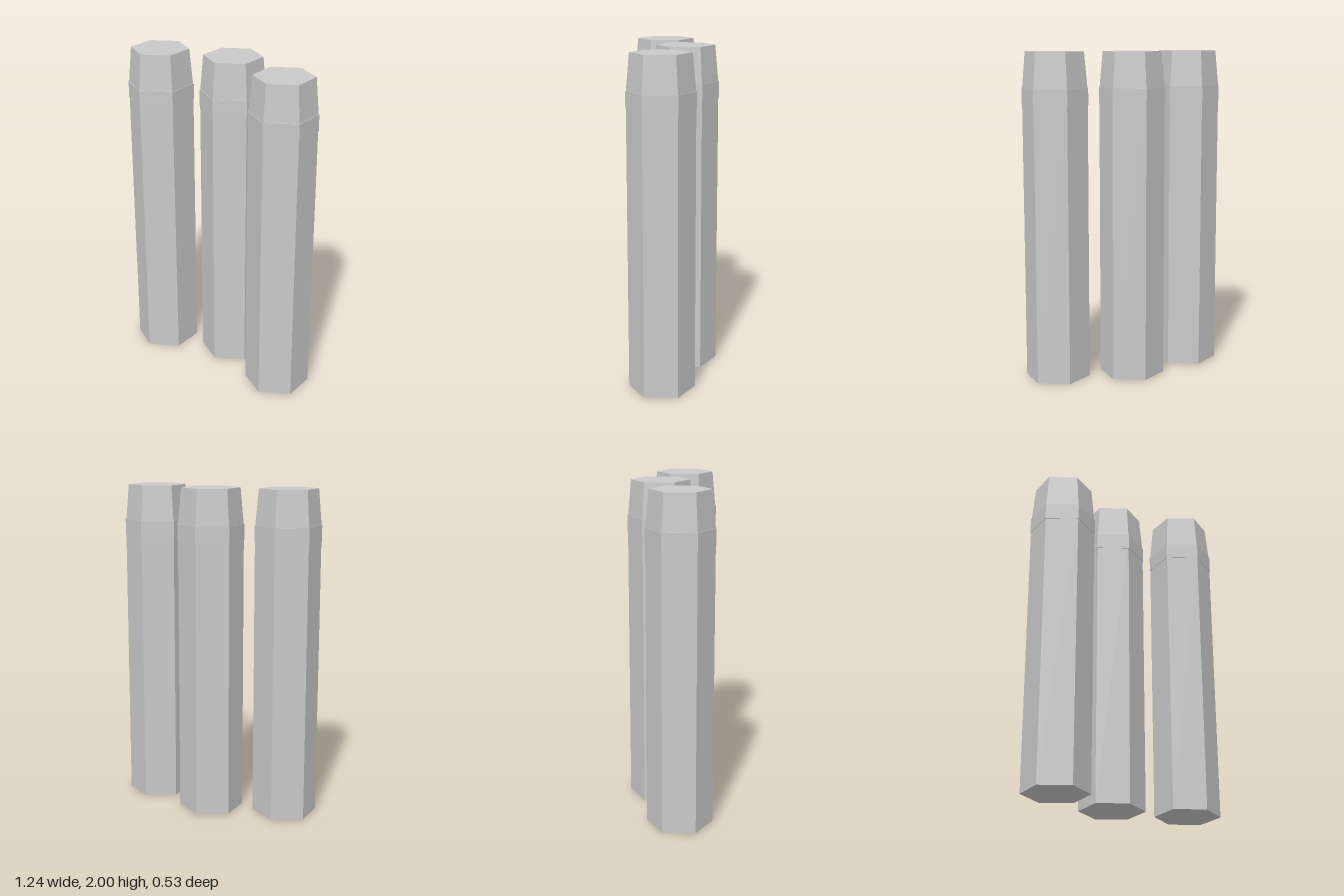
import * as THREE from 'three';

export function createModel() {
  const model = new THREE.Group();
  const grey = new THREE.MeshStandardMaterial({ color: 0xc9c9c9, flatShading: true });
  grey.name = 'light grey';

  // six-sided section standing between two heights
  const hexSection = (name, topRadius, bottomRadius, y0, y1) => {
    const geometry = new THREE.CylinderGeometry(topRadius, bottomRadius, y1 - y0, 6);
    geometry.translate(0, (y0 + y1) / 2, 0);
    const mesh = new THREE.Mesh(geometry, grey);
    mesh.name = name;
    return mesh;
  };

  const createPost = (name, x, z) => {
    const post = new THREE.Group();
    post.name = name;
    post.add(
      hexSection('shaft', 0.198, 0.198, 0, 1.73), // long straight body
      hexSection('collar', 0.201, 0.201, 1.685, 1.785), // barely raised band
      hexSection('taperedTop', 0.177, 0.198, 1.77, 2), // narrowing flat-topped end
    );
    post.position.set(x, 0, z);
    return post;
  };

  // outer posts stand forward, the middle one is set back
  model.add(
    createPost('rightPost', -0.447, 0.066),
    createPost('middlePost', 0, -0.066),
    createPost('leftPost', 0.447, 0.066),
  );
  return model;
}
